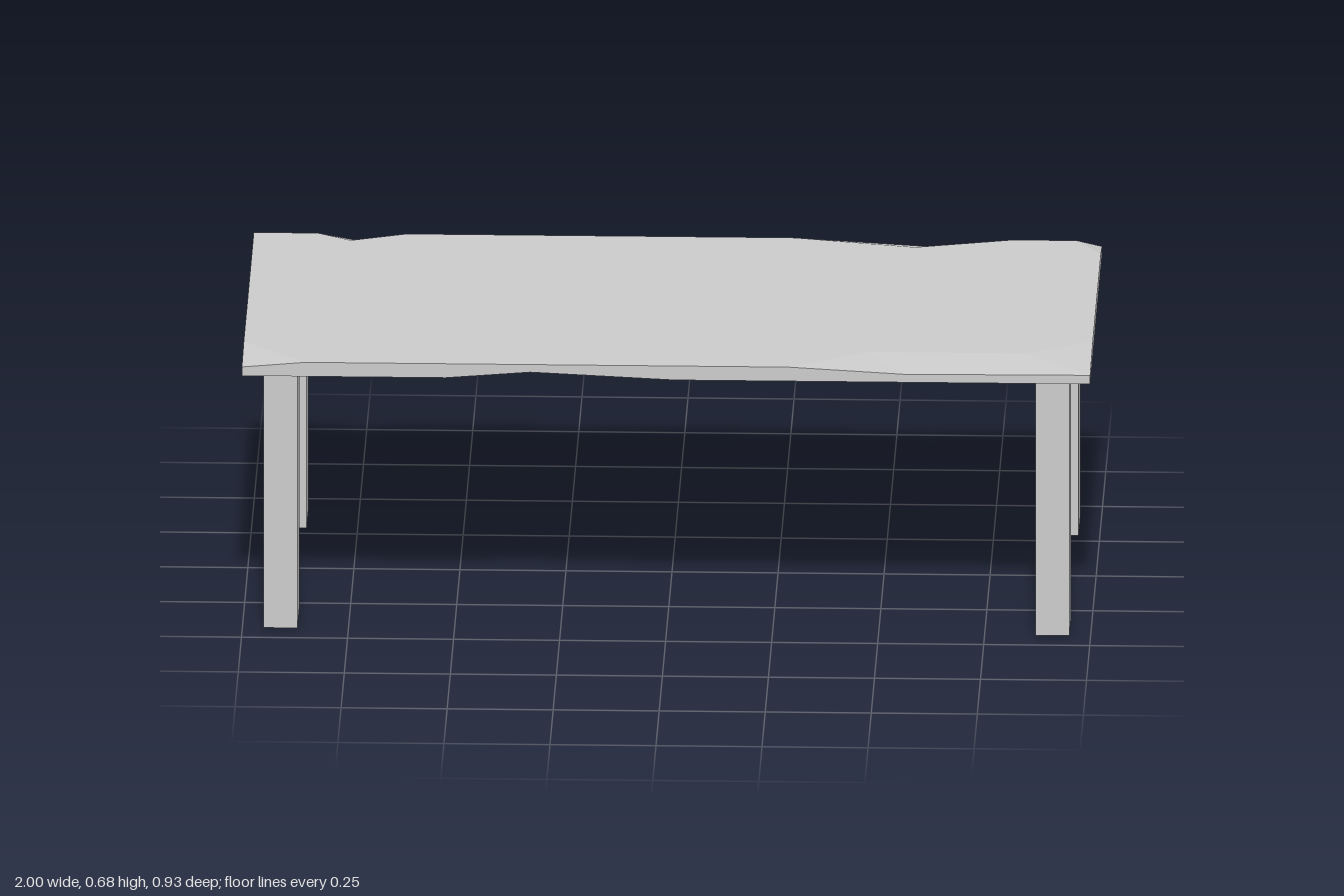
import * as THREE from 'three';

const TOP = 0.675, BOTTOM = 0.64, X = 1, Z = 0.465;

// Chips: a peak on the slab's edge [x, y, z] and the rim [x, z] where it runs out on the flat face.
// Listed in order around the slab, so that the rims also form the face outline.
const topChips = [
  { peak: [-X, 0.662, Z], rim: [[-X, 0.32], [-0.85, Z]] },
  { peak: [0.56, 0.66, Z], rim: [[0.29, Z], [0.47, 0.35], [0.84, 0.35], [X, Z, 0.662]] },
  { peak: [X, 0.662, Z], rim: [[0.84, 0.35], [X, 0.26]] },
  { peak: [X, 0.661, -Z], rim: [[X, -0.37], [0.94, -Z]] },
  { peak: [0.6, 0.656, -Z], rim: [[0.79, -Z], [0.56, -0.405], [0.27, -Z]] },
  { peak: [-0.73, 0.653, -Z], rim: [[-0.64, -Z], [-0.77, -0.415], [-0.85, -Z]] },
];
const bottomChips = [
  { peak: [-0.32, 0.656, Z], rim: [[-0.52, Z], [-0.27, 0.33], [0.02, Z]] },
  { peak: [-0.25, 0.656, -Z], rim: [[-0.05, -Z], [-0.2, -0.4], [-0.45, -Z]] },
];

function createSlab() {
  const positions = [];
  const a = new THREE.Vector3(), b = new THREE.Vector3();

  // One triangle, wound to face along "out"
  const triangle = (p, q, r, out) => {
    a.fromArray(q).sub(new THREE.Vector3(...p));
    b.fromArray(r).sub(new THREE.Vector3(...p));
    const flip = a.cross(b).dot(out) < 0;
    positions.push(...p, ...(flip ? r : q), ...(flip ? q : r));
  };

  // Flat polygon, triangulated in the plane of axes u and v
  const polygon = (points, u, v, out) => {
    const flat = points.map((p) => new THREE.Vector2(p[u], p[v]));
    for (const [i, j, k] of THREE.ShapeUtils.triangulateShape(flat, [])) {
      triangle(points[i], points[j], points[k], out);
    }
  };

  // Chip facets fan out from the peak
  const fan = ({ peak, rim }, y, out) => {
    const points = rim.map(([x, z, h = y]) => [x, h, z]);
    for (let i = 0; i < points.length - 1; i++) triangle(peak, points[i], points[i + 1], out);
  };

  const up = new THREE.Vector3(0, 1, 0), down = new THREE.Vector3(0, -1, 0);
  topChips.forEach((chip) => fan(chip, TOP, up));
  bottomChips.forEach((chip) => fan(chip, BOTTOM, down));

  // Flat top and underside, bounded by the chip rims
  const topOutline = [
    [-X, 0.32], [-0.85, Z], [0.29, Z], [0.47, 0.35], [0.84, 0.35], [X, 0.26], [X, -0.37], [0.94, -Z],
    [0.79, -Z], [0.56, -0.405], [0.27, -Z], [-0.64, -Z], [-0.77, -0.415], [-0.85, -Z], [-X, -Z],
  ];
  const bottomOutline = [
    [-X, Z], ...bottomChips[0].rim, [X, Z], [X, -Z], ...bottomChips[1].rim, [-X, -Z],
  ];
  polygon(topOutline.map(([x, z]) => [x, TOP, z]), 0, 2, up);
  polygon(bottomOutline.map(([x, z]) => [x, BOTTOM, z]), 0, 2, down);

  // Edge walls: [x or z, y] profiles that follow the chips
  const front = [
    [-X, BOTTOM], [-0.52, BOTTOM], [-0.32, 0.656], [0.02, BOTTOM], [X, BOTTOM],
    [X, 0.662], [0.56, 0.66], [0.29, TOP], [-0.85, TOP], [-X, 0.662],
  ];
  const back = [
    [-X, BOTTOM], [-0.45, BOTTOM], [-0.25, 0.656], [-0.05, BOTTOM], [X, BOTTOM], [X, 0.661], [0.94, TOP],
    [0.79, TOP], [0.6, 0.656], [0.27, TOP], [-0.64, TOP], [-0.73, 0.653], [-0.85, TOP], [-X, TOP],
  ];
  const left = [[-Z, BOTTOM], [Z, BOTTOM], [Z, 0.662], [0.26, TOP], [-0.37, TOP], [-Z, 0.661]];
  const right = [[-Z, BOTTOM], [Z, BOTTOM], [Z, 0.662], [0.32, TOP], [-Z, TOP]];
  polygon(front.map(([x, y]) => [x, y, Z]), 0, 1, new THREE.Vector3(0, 0, 1));
  polygon(back.map(([x, y]) => [x, y, -Z]), 0, 1, new THREE.Vector3(0, 0, -1));
  polygon(left.map(([z, y]) => [X, y, z]), 2, 1, new THREE.Vector3(1, 0, 0));
  polygon(right.map(([z, y]) => [-X, y, z]), 2, 1, new THREE.Vector3(-1, 0, 0));

  const geometry = new THREE.BufferGeometry();
  geometry.setAttribute('position', new THREE.Float32BufferAttribute(positions, 3));
  geometry.computeVertexNormals();
  return geometry;
}

export function createModel() {
  const model = new THREE.Group();
  model.name = 'table';
  const material = new THREE.MeshStandardMaterial({ color: 0xcccccc, flatShading: true });

  // Worn slab with chipped edges
  const tableTop = new THREE.Mesh(createSlab(), material);
  tableTop.name = 'tableTop';
  model.add(tableTop);

  // Four plank legs
  const legGeometry = new THREE.BoxGeometry(0.08, BOTTOM, 0.14);
  for (const [side, x] of [['Left', 0.91], ['Right', -0.91]]) {
    for (const [end, z] of [['front', 0.36], ['back', -0.36]]) {
      const leg = new THREE.Mesh(legGeometry, material);
      leg.name = `${end}${side}Leg`;
      leg.position.set(x, BOTTOM / 2, z);
      model.add(leg);
    }
  }
  return model;
}
